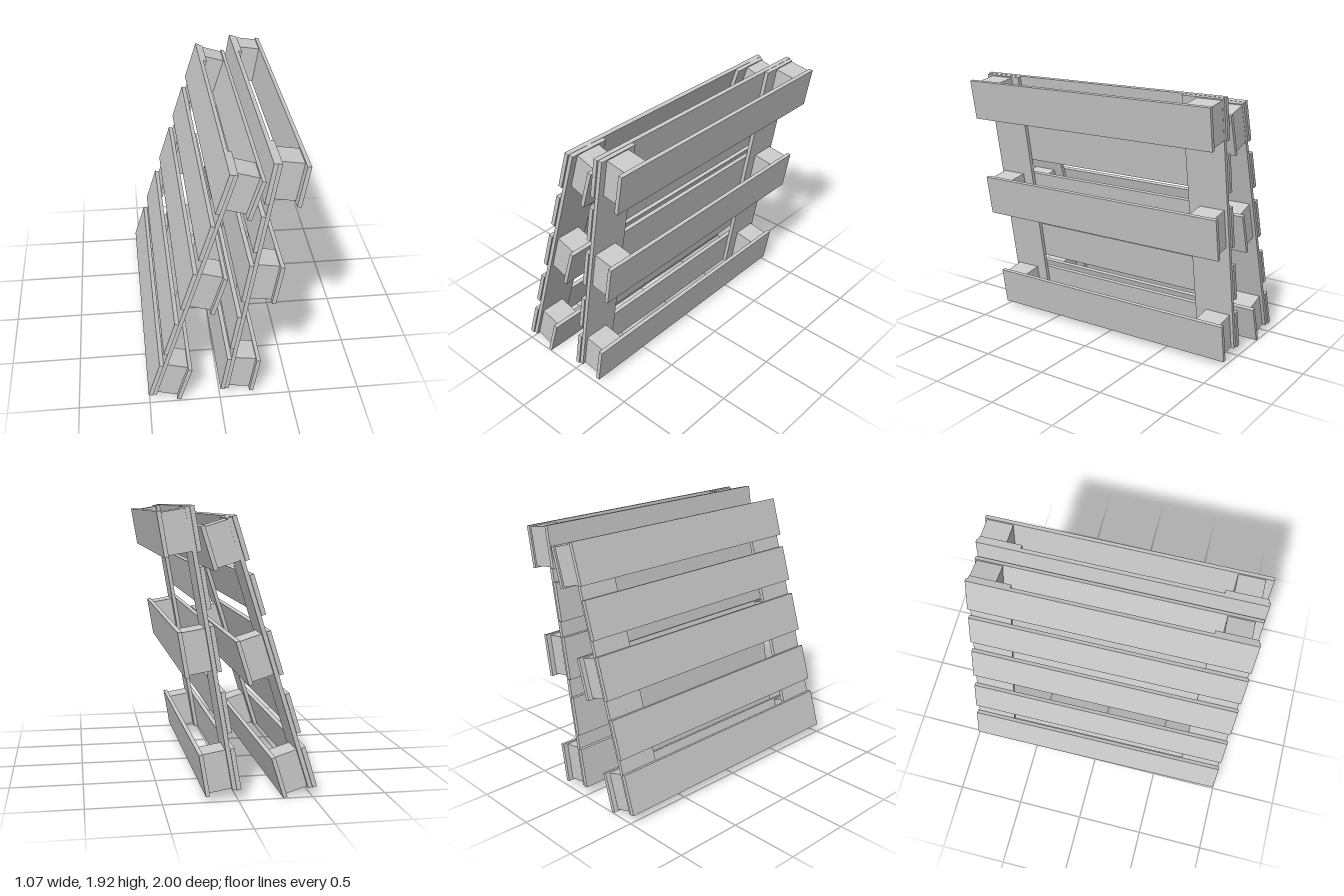
import * as THREE from 'three';

const material = new THREE.MeshStandardMaterial({ color: 0xcccccc, flatShading: true });

// Box given by its ranges: x = pallet thickness, y = pallet height, z = pallet width
function plank(parent, name, [x0, x1], [y0, y1], [z0, z1]) {
  const mesh = new THREE.Mesh(new THREE.BoxGeometry(x1 - x0, y1 - y0, z1 - z0), material);
  mesh.position.set((x0 + x1) / 2, (y0 + y1) / 2, (z0 + z1) / 2);
  mesh.name = name;
  parent.add(mesh);
}

// Layers through the thickness of a pallet
const DECK = [0, 0.03];
const STRINGER = [0.03, 0.058];
const BLOCK = [0.058, 0.21];
const BASE = [0.21, 0.238];
const LENGTH = 1.867;
const WIDTH = [-0.995, 0.995];

function createPallet(name) {
  const pallet = new THREE.Group();
  pallet.name = name;

  // Rows of boards that carry blocks, with the z centres of their blocks
  const rows = [
    { span: [0, 0.285], blocks: [-0.868, 0.868] },
    { span: [0.8, 1.1], blocks: [-0.868, 0.868] },
    { span: [1.575, LENGTH], blocks: [-0.89, 0.845] },
  ];
  for (const { span, blocks } of rows) {
    plank(pallet, 'deckBoard', DECK, span, WIDTH);
    plank(pallet, 'baseBoard', BASE, span, WIDTH);
    for (const z of blocks) {
      plank(pallet, 'spacerBlock', BLOCK, [span[0] + 0.01, span[1] - 0.01], [z - 0.093, z + 0.093]);
    }
  }

  // Narrower deck boards in between
  for (const span of [[0.39, 0.667], [1.21, 1.482]]) plank(pallet, 'middleDeckBoard', DECK, span, WIDTH);

  // Two cross boards running the full height
  for (const z of [[-0.984, -0.69], [0.69, 0.984]]) plank(pallet, 'crossBoard', STRINGER, [0.002, LENGTH - 0.002], z);

  return pallet;
}

export function createModel() {
  const model = new THREE.Group();
  model.name = 'leaningPallets';

  // Two pallets standing on edge, leaning at different angles
  const placements = [
    { name: 'rightPallet', x: -0.518, y: 0.079, lean: 17.15 },
    { name: 'leftPallet', x: -0.008, y: 0.083, lean: 9.44 },
  ];
  for (const { name, x, y, lean } of placements) {
    const pallet = createPallet(name);
    pallet.rotation.set(0, 0.011, -THREE.MathUtils.degToRad(lean), 'YXZ');
    pallet.position.set(x, y, 0);
    model.add(pallet);
  }
  return model;
}
